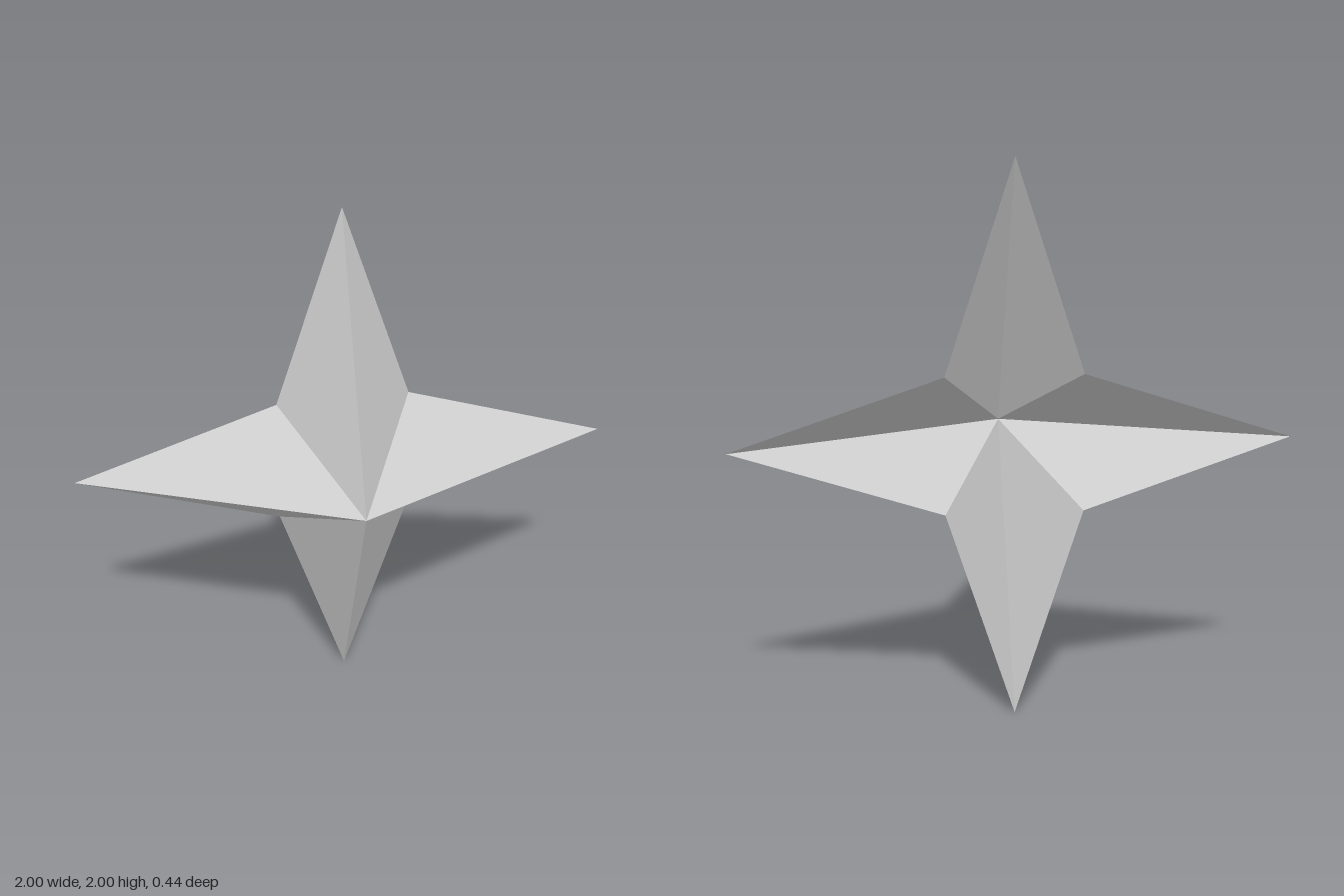
import * as THREE from 'three';

// Open-backed, faceted four-pointed star
export function createModel() {
  const group = new THREE.Group();
  const back = -0.222, front = 0.222, notch = 0.247;
  const apex = [0, 1, front];

  // Rim alternates between long tips and inner notches
  const rim = [];
  for (let i = 0; i < 8; i++) {
    const a = i * Math.PI / 4;
    const r = i % 2 ? notch * Math.SQRT2 : 1;
    rim.push([r * Math.cos(a), 1 + r * Math.sin(a), back]);
  }

  // One facet from each rim edge to the front apex
  const positions = [];
  rim.forEach((p, i) => positions.push(...apex, ...p, ...rim[(i + 1) % 8]));

  const geometry = new THREE.BufferGeometry();
  geometry.setAttribute('position', new THREE.Float32BufferAttribute(positions, 3));
  geometry.computeVertexNormals();

  const star = new THREE.Mesh(geometry, new THREE.MeshStandardMaterial({
    color: 0xcccccc, flatShading: true, side: THREE.DoubleSide,
  }));
  star.name = 'starShell';
  group.add(star);
  return group;
}
